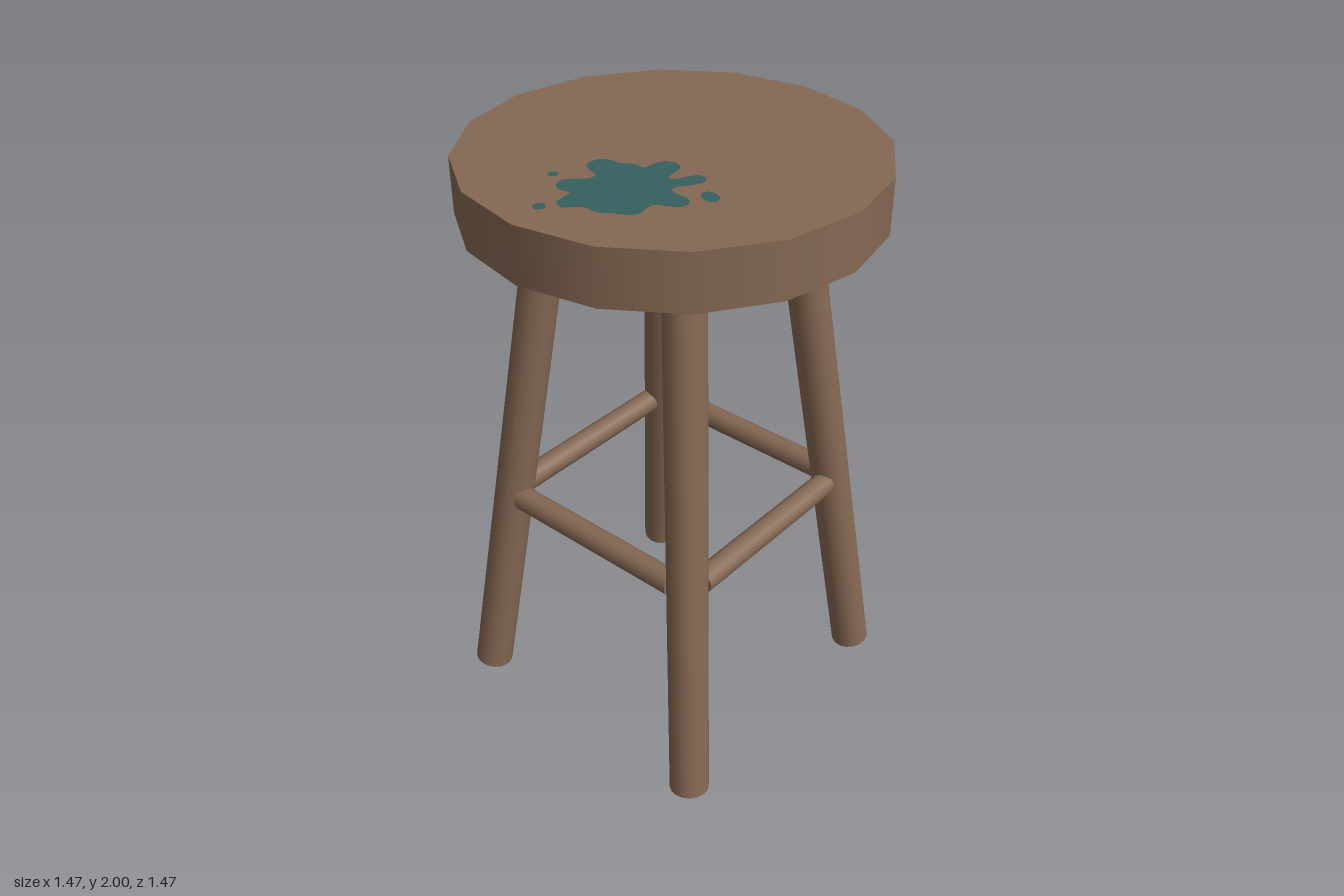
import * as THREE from 'three';

const wood = new THREE.MeshStandardMaterial({ name: 'brown wood', color: 0x856853 });
const paint = new THREE.MeshStandardMaterial({ name: 'teal paint', color: 0x365f5f });

// Round rod between two points
function rod(name, from, to, radius, sides) {
  const dir = to.clone().sub(from);
  const mesh = new THREE.Mesh(new THREE.CylinderGeometry(radius, radius, dir.length(), sides), wood);
  mesh.position.copy(from).add(to).multiplyScalar(0.5);
  mesh.quaternion.setFromUnitVectors(new THREE.Vector3(0, 1, 0), dir.normalize());
  mesh.name = name;
  return mesh;
}

// Flat paint patch lying just above the seat, from a shape drawn in x and -z
function patch(name, shape, segments) {
  const mesh = new THREE.Mesh(new THREE.ShapeGeometry(shape, segments), paint);
  mesh.rotation.x = -Math.PI / 2;
  mesh.position.y = 2.002;
  mesh.name = name;
  return mesh;
}

// Outline of the paint splat: x, z in hundredths
const SPLAT = [
  -21.5, 6.3, -18, 7.8, -15.7, 9.8, -12.1, 10.6, -9.4, 13.3, -6.7, 11, -3.1, 9.4, 0, 11,
  0.8, 14.1, -1.6, 18, -3.1, 20.7, -0.8, 21.5, 2.3, 20.4, 5.5, 19.6, 7.4, 21.9, 6.3, 24.7,
  2.3, 26.2, -1.6, 27, -2.7, 28.6, -1.6, 31.3, 1.2, 34.4, 1.2, 37.6, -1.2, 39.5, -4.7, 38.7,
  -8.2, 37.6, -10.6, 39.9, -12.5, 42.7, -15.7, 43, -19.2, 41.9, -23.9, 40.7, -26.2, 38, -29, 37.2,
  -32.9, 37.2, -34.1, 33.7, -32.1, 30.5, -30.5, 28.2, -33.7, 25.4, -34.1, 22.3, -32.5, 19.6,
  -29, 19.2, -25, 19.2, -23.1, 17.2, -25, 13.3, -25.4, 9.4,
];

export function createModel() {
  const stool = new THREE.Group();
  stool.name = 'stool';

  // Sixteen-sided seat
  const seat = new THREE.Mesh(new THREE.CylinderGeometry(0.65, 0.65, 0.18, 16), wood);
  seat.position.y = 1.91;
  seat.name = 'seat';
  stool.add(seat);

  // Four splayed legs, with a rung between each neighbouring pair
  const names = ['front', 'left', 'back', 'right'];
  for (let i = 0; i < 4; i++) {
    const side = new THREE.Group();
    side.name = names[i] + 'LegAndRung';
    side.add(rod(names[i] + 'Leg', new THREE.Vector3(0, 0.011, 0.67), new THREE.Vector3(0, 1.85, 0.367), 0.066, 16));
    side.add(rod(names[i] + 'Rung', new THREE.Vector3(0.045, 0.78, 0.515), new THREE.Vector3(0.515, 0.78, 0.045), 0.041, 12));
    side.rotation.y = i * Math.PI / 2;
    stool.add(side);
  }

  // Paint splat
  const points = [];
  for (let i = 0; i < SPLAT.length; i += 2) {
    points.push(new THREE.Vector3(SPLAT[i] / 100, -SPLAT[i + 1] / 100, 0));
  }
  const outline = new THREE.CatmullRomCurve3(points, true).getPoints(132).slice(0, -1);
  stool.add(patch('paintSplat', new THREE.Shape(outline.map((p) => new THREE.Vector2(p.x, p.y)))));

  // Stray drops: x, z, radii, tilt
  for (const [x, z, rx, rz, tilt] of [
    [-0.35, 0.155, 0.017, 0.016, 0],
    [-0.388, 0.36, 0.018, 0.021, 0],
    [0.073, 0.338, 0.024, 0.034, 0.3],
  ]) {
    const drop = new THREE.Shape().absellipse(x, -z, rx, rz, 0, Math.PI * 2, false, tilt);
    stool.add(patch('paintDrop', drop, 16));
  }
  return stool;
}
